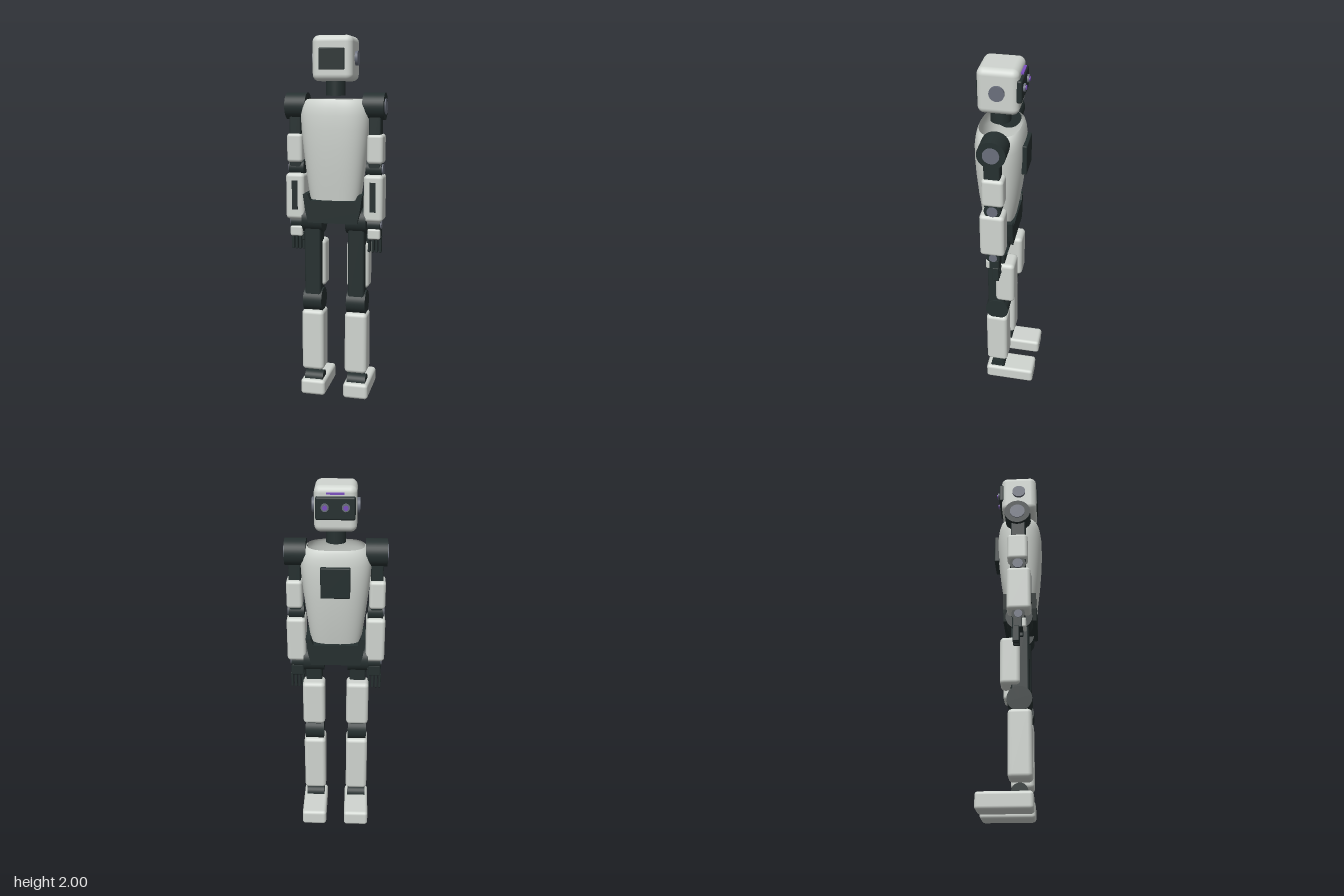
import * as THREE from 'three';
import { RoundedBoxGeometry } from 'three/addons/geometries/RoundedBoxGeometry.js';

const mat = (name, color) => {
  const m = new THREE.MeshStandardMaterial({ color });
  m.name = name;
  return m;
};

// Lofted open shell; rows are [y, halfWidth, centreZ, halfDepth]
function loftShell(rows, n = 64, power = 2.7) {
  const pos = [], idx = [];
  const bend = v => Math.sign(v) * Math.pow(Math.abs(v), 2 / power);
  for (const [y, hx, cz, hz] of rows)
    for (let i = 0; i < n; i++) {
      const a = (i / n) * Math.PI * 2;
      pos.push(hx * bend(Math.sin(a)), y, cz + hz * bend(Math.cos(a)));
    }
  for (let r = 0; r < rows.length - 1; r++)
    for (let i = 0; i < n; i++) {
      const a = r * n + i, b = r * n + (i + 1) % n;
      idx.push(a, b, b + n, a, b + n, a + n);
    }
  const g = new THREE.BufferGeometry();
  g.setAttribute('position', new THREE.Float32BufferAttribute(pos, 3));
  g.setIndex(idx);
  g.computeVertexNormals();
  return g;
}

export function createModel() {
  const root = new THREE.Group();
  root.name = 'robot';
  const white = mat('shellWhite', 0xd0d5d0);
  const shell = mat('torsoWhite', 0xd0d5d0);
  shell.side = THREE.DoubleSide;
  const dark = mat('jointDark', 0x263030);
  const grey = mat('hubGrey', 0x6a6f7c);
  const purple = mat('lightPurple', 0x7c4fc0);

  const add = (parent, name, geo, material) => {
    const m = new THREE.Mesh(geo, material);
    m.name = name;
    parent.add(m);
    return m;
  };
  // Box given by its limits, with optional rounded edges
  const box = (parent, name, x, y, z, material, r = 0) => {
    const s = [x, y, z].map(([a, b]) => Math.abs(b - a));
    const geo = r ? new RoundedBoxGeometry(...s, 4, r) : new THREE.BoxGeometry(...s);
    const m = add(parent, name, geo, material);
    m.position.set((x[0] + x[1]) / 2, (y[0] + y[1]) / 2, (z[0] + z[1]) / 2);
    return m;
  };
  // Cylinder lying along x
  const axle = (parent, name, x, y, z, r, material) => {
    const geo = new THREE.CylinderGeometry(r, r, Math.abs(x[1] - x[0]), 40).rotateZ(Math.PI / 2);
    const m = add(parent, name, geo, material);
    m.position.set((x[0] + x[1]) / 2, y, z);
    return m;
  };

  // Head, with the visor facing -z
  const head = new THREE.Group();
  head.name = 'head';
  root.add(head);
  box(head, 'skull', [-0.108, 0.108], [1.767, 2], [-0.06, 0.146], white, 0.034);
  box(head, 'rearPanel', [-0.068, 0.068], [1.825, 1.935], [0.13, 0.153], dark, 0.004);
  box(head, 'visor', [-0.1, 0.1], [1.835, 1.95], [-0.075, -0.045], dark, 0.01);
  box(head, 'browLight', [-0.045, 0.045], [1.962, 1.97], [-0.073, -0.04], purple);
  for (const s of [-1, 1]) {
    axle(head, 'ear', [s * 0.1, s * 0.122], 1.885, 0.044, 0.038, grey);
    const socket = add(head, 'eyeSocket', new THREE.CylinderGeometry(0.02, 0.02, 0.014, 28).rotateX(Math.PI / 2), grey);
    socket.position.set(s * 0.052, 1.9, -0.078);
    const eye = add(head, 'eye', new THREE.CylinderGeometry(0.012, 0.012, 0.008, 24).rotateX(Math.PI / 2), purple);
    eye.position.set(s * 0.052, 1.9, -0.086);
  }
  const neck = add(root, 'neck', new THREE.CylinderGeometry(0.052, 0.052, 0.1, 36), dark);
  neck.position.set(0, 1.742, 0.048);

  // Open torso shell and chest panel
  add(root, 'torso', loftShell([
    [1.14, 0.138, 0.052, 0.087], [1.2, 0.147, 0.05, 0.096], [1.3, 0.16, 0.048, 0.11],
    [1.42, 0.174, 0.046, 0.122], [1.52, 0.184, 0.045, 0.127], [1.59, 0.187, 0.045, 0.126],
    [1.63, 0.182, 0.045, 0.121], [1.66, 0.168, 0.045, 0.114], [1.675, 0.15, 0.045, 0.106],
  ]), shell);
  box(root, 'chestPanel', [-0.077, 0.077], [1.43, 1.595], [-0.1, -0.07], dark, 0.006);

  // Pelvis: a band with raised ends
  const p = new THREE.Shape();
  p.moveTo(-0.135, 1.015);
  for (const [x, y] of [[0.135, 1.015], [0.15, 1.08], [0.163, 1.17], [0.138, 1.17], [0.122, 1.135],
    [-0.122, 1.135], [-0.138, 1.17], [-0.163, 1.17], [-0.15, 1.08]]) p.lineTo(x, y);
  p.closePath();
  const pelvis = add(root, 'pelvis', new THREE.ExtrudeGeometry(p, { depth: 0.18, bevelEnabled: false }), dark);
  pelvis.position.z = -0.042;

  for (const s of [-1, 1]) {
    const X = (a, b) => [s * a, s * b];

    // Arm
    const arm = new THREE.Group();
    arm.name = s > 0 ? 'leftArm' : 'rightArm';
    root.add(arm);
    axle(arm, 'shoulder', X(0.155, 0.268), 1.637, 0.043, 0.072, dark);
    axle(arm, 'shoulderHub', X(0.26, 0.273), 1.637, 0.043, 0.042, grey);
    box(arm, 'upperArmCore', X(0.186, 0.25), [1.3, 1.62], [0.005, 0.087], dark, 0.008);
    box(arm, 'upperArmShell', X(0.178, 0.264), [1.335, 1.492], [-0.015, 0.098], white, 0.018);
    axle(arm, 'elbow', X(0.172, 0.255), 1.305, 0.044, 0.044, dark);
    axle(arm, 'elbowHub', X(0.25, 0.262), 1.305, 0.044, 0.028, grey);
    box(arm, 'forearm', X(0.164, 0.268), [1.025, 1.278], [-0.018, 0.113], white, 0.02);
    box(arm, 'forearmPanel', X(0.199, 0.231), [1.08, 1.24], [0.108, 0.116], dark);
    axle(arm, 'wrist', X(0.18, 0.25), 1.002, 0.045, 0.036, dark);
    axle(arm, 'wristHub', X(0.245, 0.256), 1.002, 0.045, 0.022, grey);
    box(arm, 'palm', X(0.18, 0.252), [0.92, 0.99], [0.012, 0.07], dark, 0.01);
    box(arm, 'handPlate', X(0.182, 0.252), [0.925, 0.982], [0.06, 0.086], white, 0.01);
    for (let i = 0; i < 4; i++) {
      const x = 0.186 + i * 0.0205;
      box(arm, 'finger', X(x - 0.007, x + 0.007), [0.845, 0.935], [0.015, 0.05], dark, 0.005);
    }
    box(arm, 'thumb', X(0.174, 0.19), [0.9, 0.95], [0.045, 0.068], dark, 0.005);

    // Leg
    const leg = new THREE.Group();
    leg.name = s > 0 ? 'leftLeg' : 'rightLeg';
    root.add(leg);
    axle(leg, 'hip', X(0.065, 0.178), 1.022, 0.045, 0.072, dark);
    box(leg, 'thighCore', X(0.077, 0.168), [0.58, 1.0], [0.0, 0.097], dark, 0.012);
    box(leg, 'thighShell', X(0.06, 0.185), [0.637, 0.902], [-0.056, 0.05], white, 0.022);
    axle(leg, 'knee', X(0.07, 0.176), 0.56, 0.045, 0.066, dark);
    box(leg, 'shin', X(0.06, 0.186), [0.152, 0.505], [-0.015, 0.108], white, 0.022);
    axle(leg, 'ankle', X(0.07, 0.176), 0.088, 0.045, 0.042, dark);
    box(leg, 'foot', X(0.053, 0.194), [0, 0.09], [-0.173, 0.112], white, 0.018);
  }
  return root;
}
